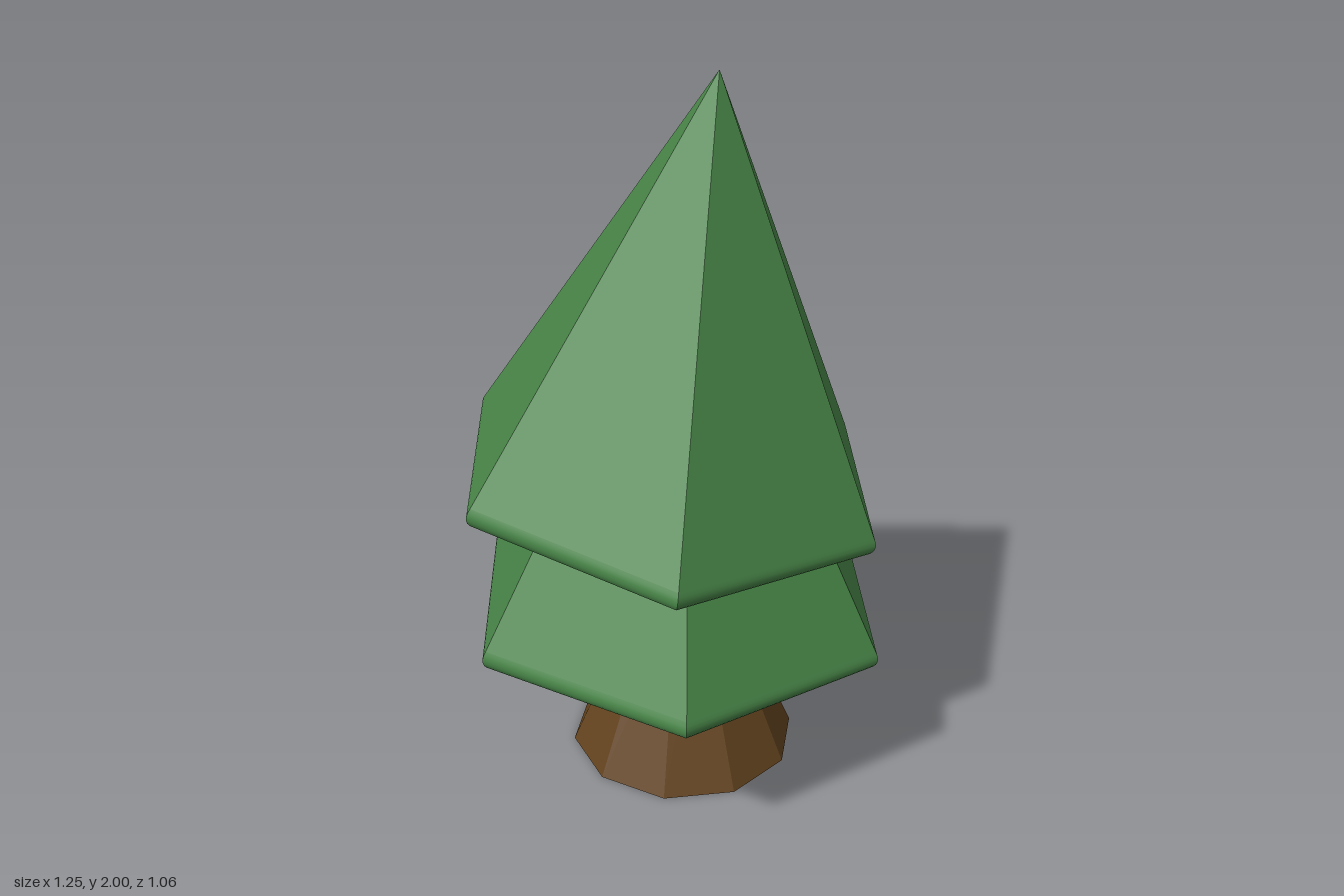
import * as THREE from 'three';
import { toCreasedNormals } from 'three/addons/utils/BufferGeometryUtils.js';

const TIER_HEIGHT = 1.163;

// Six-sided cone with a rounded lower rim, base centred on the origin
function tierGeometry() {
  const rim = 0.033, centre = 0.581, endAngle = 0.503, steps = 6;
  const profile = [new THREE.Vector2(0, 0), new THREE.Vector2(centre - 0.005, 0)];
  for (let i = 0; i <= steps; i++) {
    const a = -Math.PI / 2 + (endAngle + Math.PI / 2) * i / steps;
    profile.push(new THREE.Vector2(centre + rim * Math.cos(a), rim + rim * Math.sin(a)));
  }
  // a narrow band above the rim keeps the big faces flat
  const apex = new THREE.Vector2(0, TIER_HEIGHT);
  profile.push(profile[profile.length - 1].clone().lerp(apex, 0.01), apex);
  return toCreasedNormals(new THREE.LatheGeometry(profile, 6, Math.PI / 2), 0.6);
}

export function createModel() {
  const tree = new THREE.Group();
  tree.name = 'tree';
  const green = new THREE.MeshStandardMaterial({ color: 0x488548 });
  const brown = new THREE.MeshStandardMaterial({ color: 0x64441f, flatShading: true });

  // Tapered ten-sided trunk, its top hidden in the foliage
  const trunk = new THREE.Mesh(
    new THREE.CylinderGeometry(0.113, 0.325, 0.5, 10, 1, false, Math.PI / 2), brown);
  trunk.name = 'trunk';
  trunk.position.set(0.02, 0.25, -0.0175);
  tree.add(trunk);

  // Two equal foliage tiers, each leaning to its left
  const geometry = tierGeometry();
  const tiers = [
    { name: 'lowerFoliage', x: 0.007, y: 0.44, lean: 1.6 },
    { name: 'upperFoliage', x: -0.02, y: 0.845, lean: 7 },
  ];
  for (const { name, x, y, lean } of tiers) {
    const tier = new THREE.Mesh(geometry, green);
    tier.name = name;
    tier.position.set(x, y, 0);
    tier.rotation.z = -THREE.MathUtils.degToRad(lean);
    tree.add(tier);
  }
  return tree;
}
